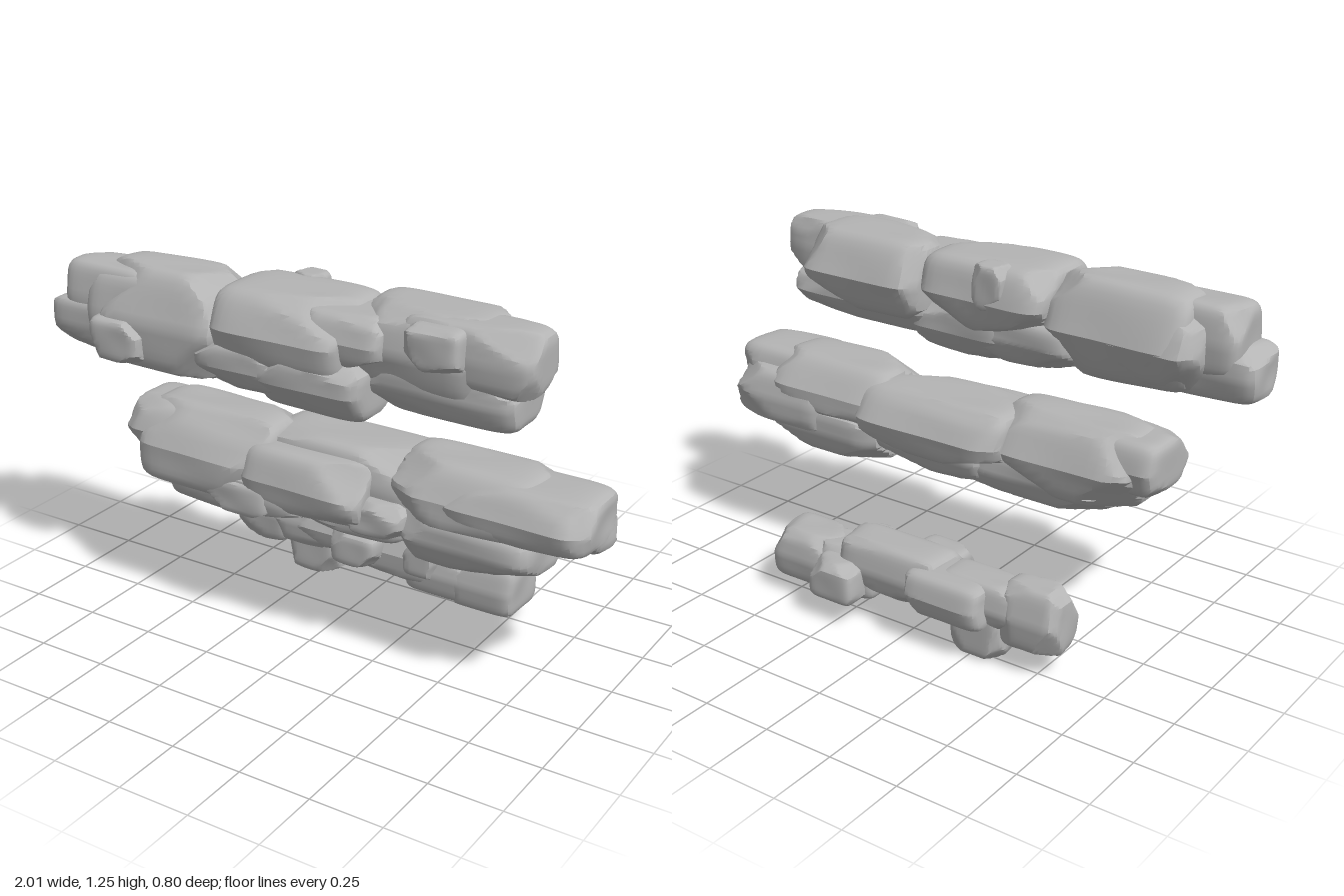
import * as THREE from 'three';
import { toCreasedNormals } from 'three/addons/utils/BufferGeometryUtils.js';

const stone = new THREE.MeshStandardMaterial({ color: 0xb4b4b4 });
stone.name = 'grey stone';

// Small seeded random generator
function seeded(seed) {
  let s = seed;
  return () => {
    s = (s * 16807) % 2147483647;
    return s / 2147483647;
  };
}

// One weathered block filling the given bounds: a rounded box with chipped corners.
// The insets slope its back and front faces: [back top, front top, back bottom, front bottom].
function rockGeometry([x0, x1, y0, y1, z0, z1], [backTop, frontTop, backLow, frontLow], seed) {
  const rand = seeded(seed * 7919 + 17);
  for (let i = 0; i < 5; i++) rand();
  const geo = new THREE.BoxGeometry(2, 2, 2, 14, 12, 12);
  const cuts = [];
  for (let i = 0; i < 12; i++) {
    const n = new THREE.Vector3(rand() * 2 - 1, rand() * 2 - 1, rand() * 2 - 1).normalize();
    cuts.push({ n, d: 1.13 + rand() * 0.12 });
  }
  const phase = rand() * 6;
  const pos = geo.attributes.position;
  const p = new THREE.Vector3();
  const power = 7;
  const { lerp } = THREE.MathUtils;
  for (let i = 0; i < pos.count; i++) {
    p.fromBufferAttribute(pos, i);
    const sum = Math.abs(p.x) ** power + Math.abs(p.y) ** power + Math.abs(p.z) ** power;
    p.multiplyScalar(sum ** (-1 / power));
    for (const { n, d } of cuts) {
      const over = p.dot(n) - d;
      if (over > 0) p.addScaledVector(n, -over);
    }
    // gentle dents
    const dent = Math.sin(p.x * 3.1 + phase) * Math.sin(p.y * 2.7 + phase * 2) * Math.cos(p.z * 2.9 - phase);
    p.multiplyScalar(1 + 0.03 * dent);
    const up = Math.max(p.y, 0);
    const down = Math.max(-p.y, 0);
    const back = z0 + backTop * up + backLow * down;
    const front = z1 - frontTop * up - frontLow * down;
    pos.setXYZ(i, lerp(x0, x1, (p.x + 1) / 2), lerp(y0, y1, (p.y + 1) / 2), lerp(back, front, (p.z + 1) / 2));
  }
  return toCreasedNormals(geo, 0.5);
}

// Blocks as [x0, x1, y0, y1, z0, z1], then the insets where a block is sloped
const ledges = {
  upperLedge: [
    [[-1.0, -0.55, 0.90, 1.08, 0.13, 0.34], [0, 0, 0.02, 0.02]], // left end, low
    [[-0.94, -0.6, 0.98, 1.21, 0.12, 0.33], [0.02, 0.02, 0, 0]], // left end, high
    [[-0.84, -0.5, 0.91, 1.20, 0.03, 0.35], [0.07, 0.03, 0.08, 0]],
    [[-0.79, -0.29, 0.89, 1.23, 0.03, 0.37], [0.07, 0.07, 0.09, 0.01]],
    [[-0.78, -0.57, 0.91, 1.06, 0.20, 0.40]], // front knob
    [[-0.31, 0.18, 0.98, 1.23, 0.0, 0.385], [0.04, 0.06, 0.04, 0.03]], // centre
    [[0.0, 0.31, 1.04, 1.21, 0.1, 0.34], [0, 0.03, 0, 0.02]],
    [[-0.38, 0.0, 0.88, 1.06, 0.05, 0.37], [0, 0, 0.05, 0.05]],
    [[-0.14, 0.25, 0.855, 1.06, 0.05, 0.37], [0, 0, 0.08, 0.07]],
    [[-0.17, -0.05, 1.08, 1.235, 0.0, 0.1]], // back knob
    [[0.17, 0.65, 0.97, 1.245, -0.045, 0.30], [0.07, 0.03, 0.06, 0.03]], // right
    [[0.35, 0.805, 1.03, 1.24, 0.08, 0.29], [0.01, 0.01, 0.01, 0.01]],
    [[0.17, 0.745, 0.91, 1.08, 0.03, 0.28], [0, 0, 0.06, 0.03]],
    [[0.39, 0.585, 1.09, 1.23, 0.18, 0.34]], // right front knob
  ],
  middleLedge: [
    [[-0.73, -0.45, 0.55, 0.74, 0.02, 0.31], [0.03, 0.05, 0.03, 0.02]], // left end
    [[-0.66, -0.13, 0.48, 0.755, -0.03, 0.345], [0.07, 0.09, 0.03, 0]],
    [[-0.54, 0.0, 0.43, 0.6, 0.0, 0.335], [0, 0, 0.04, 0.02]],
    [[-0.37, -0.1, 0.44, 0.57, 0.12, 0.345]],
    [[-0.22, 0.24, 0.49, 0.70, 0.1, 0.35], [0, 0.04, 0, 0.02]], // centre front
    [[-0.2, 0.4, 0.52, 0.735, -0.09, 0.25], [0.07, 0.02, 0.03, 0]], // centre back
    [[-0.1, 0.36, 0.445, 0.62, -0.03, 0.28], [0, 0, 0.04, 0]],
    [[0.15, 0.38, 0.48, 0.6, 0.05, 0.31]],
    [[0.31, 0.8, 0.56, 0.76, -0.06, 0.30], [0.08, 0.07, 0, 0]], // right, high
    [[0.5, 1.0, 0.57, 0.745, 0.0, 0.31], [0.03, 0.05, 0, 0.02]],
    [[0.32, 0.81, 0.42, 0.6, -0.06, 0.30], [0, 0, 0.03, 0.04]], // right, low
    [[0.5, 0.97, 0.5, 0.69, -0.07, 0.18], [0.03, 0, 0, 0.05]],
  ],
  lowerLedge: [
    [[-0.59, -0.37, 0.085, 0.31, -0.31, -0.135], [0.03, 0.02, 0.01, 0.01]], // left end
    [[-0.45, -0.12, 0.11, 0.28, -0.31, -0.13], [0.02, 0.02, 0.02, 0.01]],
    [[-0.37, -0.175, 0.0, 0.18, -0.30, -0.16]], // foot
    [[-0.33, -0.02, 0.12, 0.275, -0.37, -0.12], [0.02, 0.03, 0.02, 0.02]],
    [[-0.12, 0.07, 0.135, 0.265, -0.3, -0.04]], // front knob
    [[-0.13, 0.28, 0.1, 0.3, -0.33, -0.10], [0.02, 0.05, 0.02, 0.01]], // centre
    [[0.15, 0.285, 0.14, 0.27, -0.28, -0.09]],
    [[0.14, 0.42, 0.07, 0.24, -0.32, -0.11], [0.02, 0.02, 0.01, 0.01]],
    [[0.3, 0.57, 0.06, 0.245, -0.33, -0.11], [0.02, 0.02, 0.01, 0.01]], // right end
    [[0.16, 0.345, 0.08, 0.22, -0.40, -0.22]], // back knob
  ],
};

export function createModel() {
  const model = new THREE.Group();
  model.name = 'rockLedges';
  let seed = 1;
  for (const [name, blocks] of Object.entries(ledges)) {
    const ledge = new THREE.Group();
    ledge.name = name;
    blocks.forEach(([bounds, insets = [0, 0, 0, 0]], i) => {
      const rock = new THREE.Mesh(rockGeometry(bounds, insets, seed++), stone);
      rock.name = `${name}Rock${i + 1}`;
      ledge.add(rock);
    });
    model.add(ledge);
  }
  return model;
}
